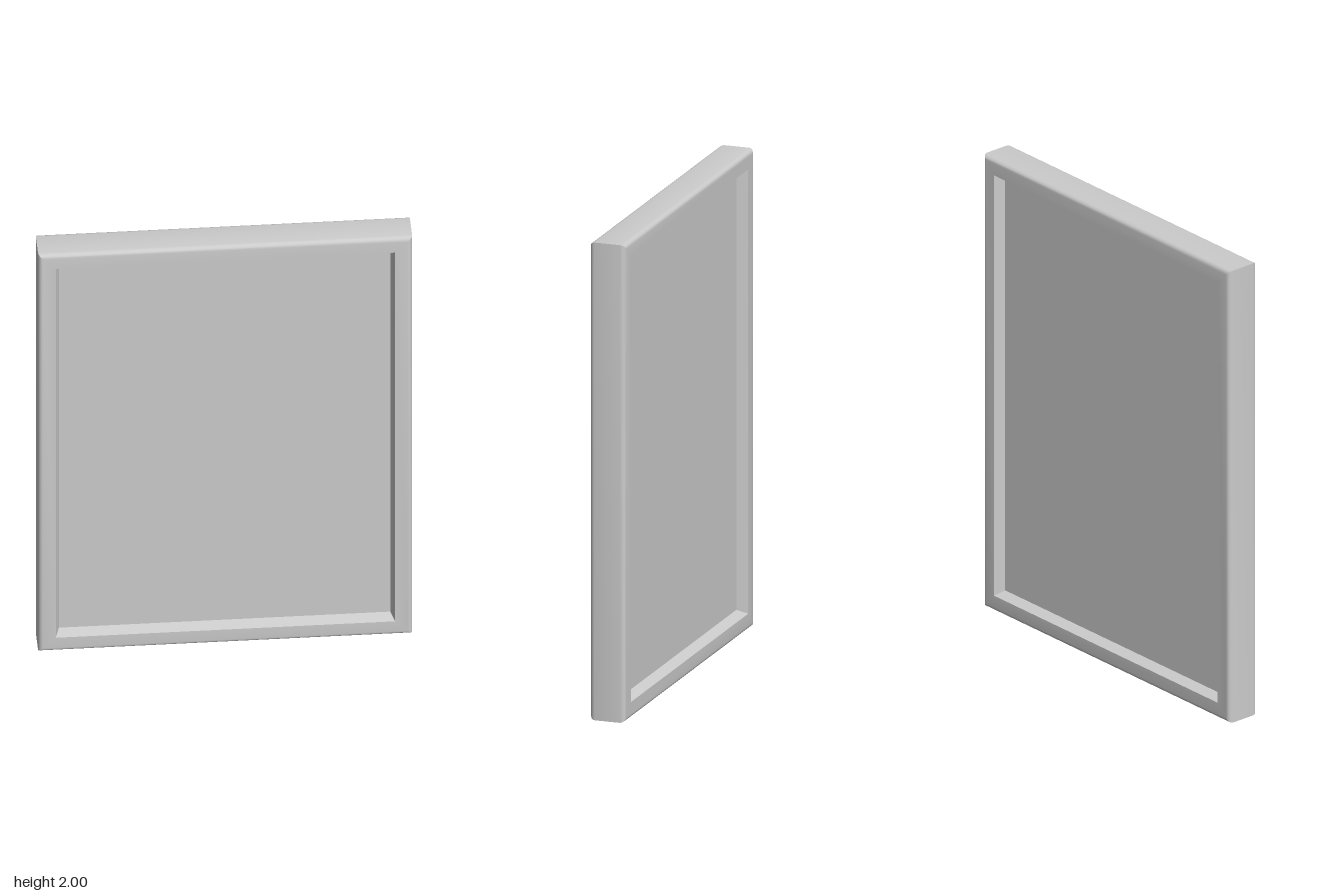
import * as THREE from 'three';
import { toCreasedNormals } from 'three/addons/utils/BufferGeometryUtils.js';

const HALF_W = 0.755, HEIGHT = 2, HALF_D = 0.075;
const ROUND = 0.02;      // radius of the outer edges
const FACE = 0.07;       // width of the frame's flat face
const INSET = 0.086;     // foot of the sloped inner wall
const PANEL_Z = 0.03;    // half thickness of the panel

// Frame section as [inset from the outer edge, z], from back to front
function frameProfile() {
  const front = [];
  const steps = 4;
  for (let i = 0; i <= steps; i++) {
    const a = (i / steps) * Math.PI / 2;
    front.push([ROUND * (1 - Math.cos(a)), HALF_D - ROUND + ROUND * Math.sin(a)]);
  }
  front.push([FACE, HALF_D], [INSET, PANEL_Z]);
  const back = front.map(([inset, z]) => [inset, -z]).reverse();
  return [...back, ...front];
}

// Sweep the section round the rectangle with mitred corners
function frameGeometry() {
  const corner = ([inset, z], k) => {
    const x = HALF_W - inset;
    return [k === 1 || k === 2 ? x : -x, k < 2 ? inset : HEIGHT - inset, z];
  };
  const profile = frameProfile();
  const positions = [];
  for (let k = 0; k < 4; k++) {
    const n = (k + 1) % 4;
    for (let j = 0; j < profile.length - 1; j++) {
      const a = corner(profile[j], k), b = corner(profile[j], n);
      const c = corner(profile[j + 1], n), d = corner(profile[j + 1], k);
      positions.push(...a, ...b, ...c, ...a, ...c, ...d);
    }
  }
  const geometry = new THREE.BufferGeometry();
  geometry.setAttribute('position', new THREE.Float32BufferAttribute(positions, 3));
  return toCreasedNormals(geometry, 0.6);
}

export function createModel() {
  const group = new THREE.Group();
  group.name = 'framedPanel';
  const material = new THREE.MeshStandardMaterial({ color: 0xcccccc });

  // Rounded border, the same on both sides
  const frame = new THREE.Mesh(frameGeometry(), material);
  frame.name = 'frame';

  // Flat panel recessed in the frame, front and back
  const panel = new THREE.Mesh(
    new THREE.BoxGeometry(2 * (HALF_W - INSET), HEIGHT - 2 * INSET, 2 * PANEL_Z), material);
  panel.name = 'panel';
  panel.position.y = HEIGHT / 2;

  group.add(frame, panel);
  return group;
}
